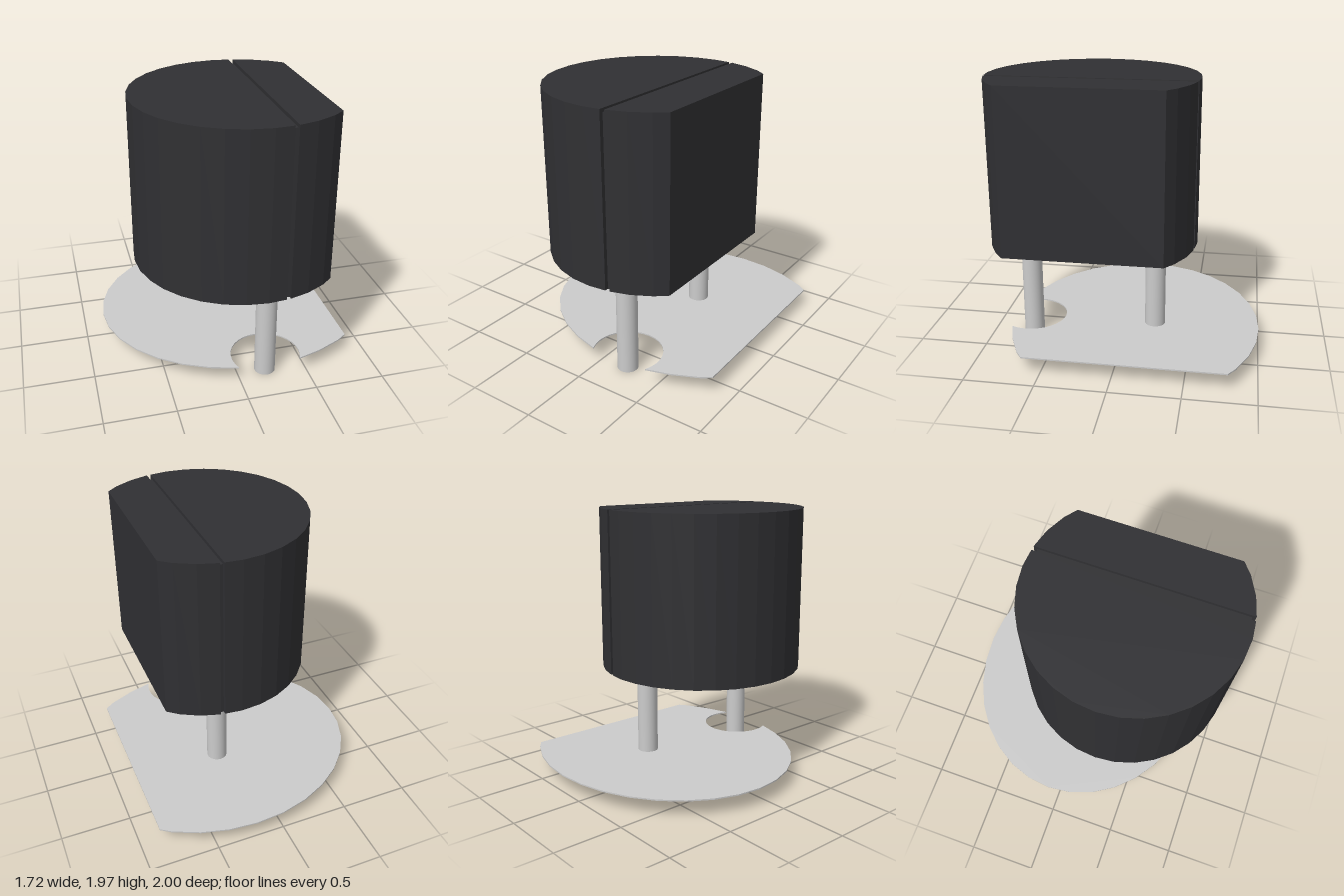
import * as THREE from 'three';

const grey = new THREE.MeshStandardMaterial({ color: 0xcccccc });
const dark = new THREE.MeshStandardMaterial({ color: 0x303033 });

// Points of a 32-sided ellipse, kept between two x limits (plan: x right, y = -z)
function clippedDisc(cx, cz, rx, rz, xMin, xMax) {
  const n = 32, ring = [], out = [];
  for (let i = 0; i < n; i++) {
    const a = (i / n) * Math.PI * 2;
    ring.push(new THREE.Vector2(cx + rx * Math.cos(a), -cz + rz * Math.sin(a)));
  }
  ring.forEach((p, i) => {
    const q = ring[(i + 1) % n];
    const inside = (v) => v.x >= xMin && v.x <= xMax;
    if (inside(p)) out.push(p);
    const cuts = [xMin, xMax]
      .map((x) => (x - p.x) / (q.x - p.x))
      .filter((t) => t > 0 && t < 1)
      .sort((a, b) => a - b);
    cuts.forEach((t) => out.push(p.clone().lerp(q, t)));
  });
  return out;
}

// Extrude a plan outline upwards from y0 to y1
function slab(name, points, y0, y1, material) {
  const geo = new THREE.ExtrudeGeometry(new THREE.Shape(points), { depth: y1 - y0, bevelEnabled: false });
  geo.rotateX(-Math.PI / 2).translate(0, y0, 0);
  const mesh = new THREE.Mesh(geo, material);
  mesh.name = name;
  return mesh;
}

export function createModel() {
  const model = new THREE.Group();
  model.name = 'model';

  // Body: two drum sections, the right-hand one cut flat, either side of a groove
  const body = new THREE.Group();
  body.name = 'body';
  const drum = (x0, x1) => clippedDisc(0.125, 0.235, 0.76, 0.76, x0, x1);
  body.add(slab('mainDrum', drum(-2, 0.25), 0.76, 1.965, dark));
  body.add(slab('flatSidedDrum', drum(0.28, 0.627), 0.76, 1.965, dark));

  // Recessed core that forms the groove floor
  const core = new THREE.Mesh(new THREE.BoxGeometry(0.03, 1.18, 1.44), dark);
  core.position.set(0.265, 1.35, 0.235);
  core.name = 'grooveCore';
  body.add(core);
  model.add(body);

  // Legs
  [['frontLeg', 0.705], ['backLeg', -0.23]].forEach(([name, z]) => {
    const leg = new THREE.Mesh(new THREE.CylinderGeometry(0.075, 0.075, 0.78, 32), grey);
    leg.position.set(0.208, 0.39, z);
    leg.name = name;
    model.add(leg);
  });

  // Thin plate: flat-sided oval with a round bite around the front leg
  const bx = 0.21, by = -0.705, r = 0.25, open = 0.442;
  const bite = [];
  for (let i = 0; i <= 20; i++) {
    const a = Math.PI + open - (i / 20) * (Math.PI + 2 * open);
    bite.push(new THREE.Vector2(bx + r * Math.cos(a), by + r * Math.sin(a)));
  }
  const rim = clippedDisc(0.2, -0.085, 1.06, 0.915, -2, 0.86);
  const inBite = (p) => Math.hypot(p.x - bx, p.y - by) < r;
  const first = rim.findIndex(inBite);
  const outline = [...rim.slice(0, first), ...bite, ...rim.slice(first).filter((p) => !inBite(p))];
  model.add(slab('plate', outline, 0.12, 0.13, grey));

  return model;
}
